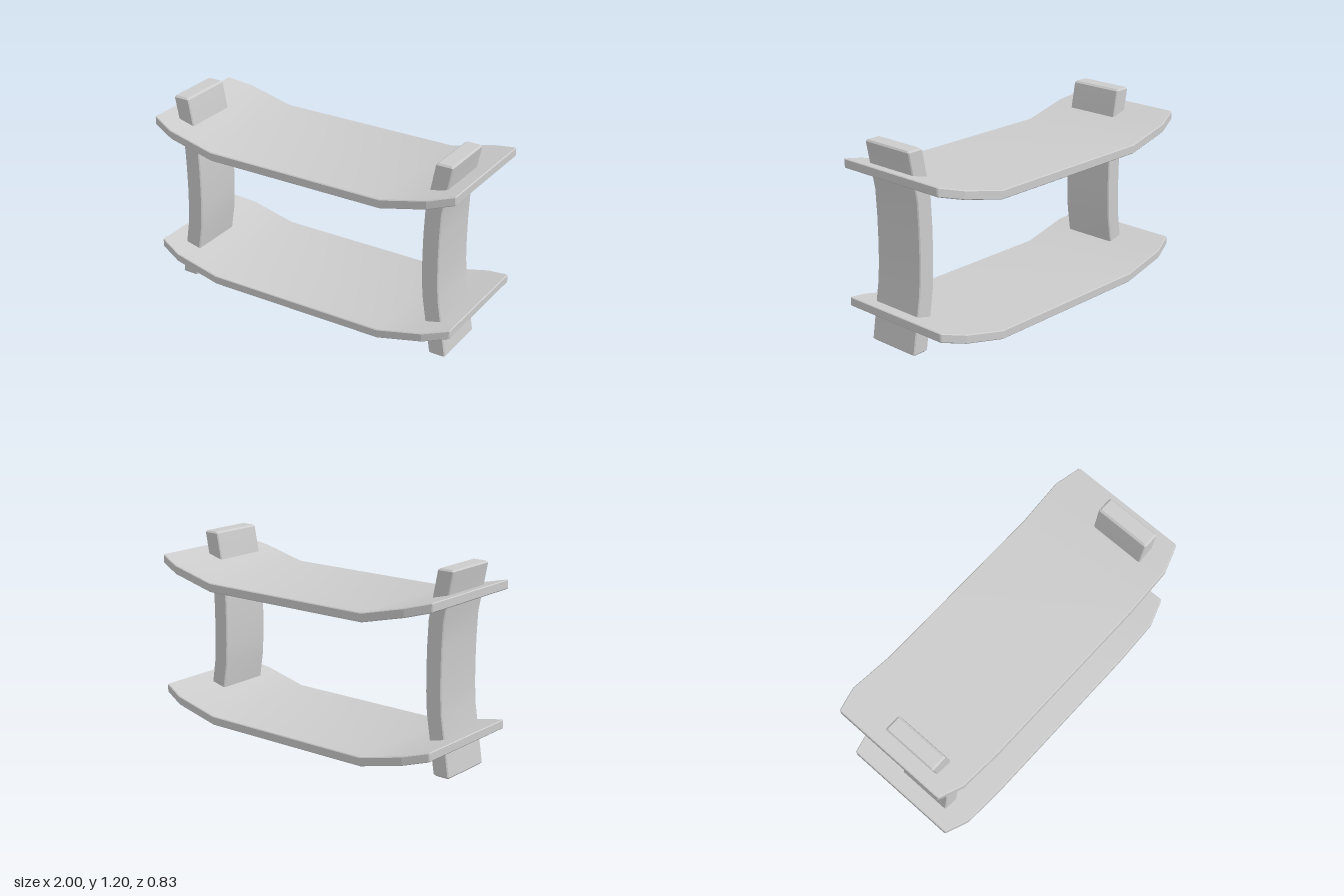
import * as THREE from 'three';
import { toCreasedNormals } from 'three/addons/utils/BufferGeometryUtils.js';

const material = new THREE.MeshStandardMaterial({ color: 0xcccccc });

// Lofts a bevelled rectangle through stations {x, y, w}. The half thickness
// vector (tx, ty) is constant; w is the half width along z.
function loft(stations, tx, ty, bevel) {
  const positions = [];
  const index = [];
  const half = Math.hypot(tx, ty);
  for (const { x, y, w, shrink = 0 } of stations) {
    const a = half - shrink;
    const b = w - shrink;
    const ring = [
      [a, -b + bevel], [a, b - bevel], [a - bevel, b], [-a + bevel, b],
      [-a, b - bevel], [-a, -b + bevel], [-a + bevel, -b], [a - bevel, -b],
    ];
    for (const [s, z] of ring) positions.push(x + tx * s / half, y + ty * s / half, z);
  }
  const last = (stations.length - 1) * 8;
  for (let i = 0; i < last; i += 8) {
    for (let j = 0; j < 8; j++) {
      const k = (j + 1) % 8;
      index.push(i + j, i + k, i + 8 + k, i + j, i + 8 + k, i + 8 + j);
    }
  }
  for (let j = 1; j < 7; j++) {
    index.push(0, j + 1, j);
    index.push(last, last + j, last + j + 1);
  }
  const geometry = new THREE.BufferGeometry();
  geometry.setAttribute('position', new THREE.Float32BufferAttribute(positions, 3));
  geometry.setIndex(index);
  return toCreasedNormals(geometry, 0.3);
}

// Shelf: flat middle, upswept ends, clipped corners
function shelfGeometry() {
  const right = [
    { x: 0.565, y: 0.12, w: 0.417 },
    { x: 0.85, y: 0.19, w: 0.417 },
    { x: 0.995, y: 0.23, w: 0.369 },
    { x: 1, y: 0.231, w: 0.367, shrink: 0.005 },
  ];
  const left = right.map((p) => ({ ...p, x: -p.x })).reverse();
  return loft([...left, ...right], 0, 0.027, 0.005);
}

// Upright: bowed inward at the middle, flared at both ends
function uprightGeometry(side) {
  const path = [
    [0.877, 1.195, 0.01], [0.875, 1.185, 0], [0.82, 0.9, 0], [0.813, 0.75, 0],
    [0.811, 0.6, 0], [0.813, 0.48, 0], [0.82, 0.36, 0], [0.875, 0.01, 0], [0.877, 0, 0.01],
  ];
  const stations = path.map(([x, y, shrink]) => ({ x: side * x, y, w: 0.173, shrink }));
  return loft(stations, 0.052, 0, 0.006);
}

export function createModel() {
  const group = new THREE.Group();
  group.name = 'shelfUnit';

  const shelf = shelfGeometry();
  for (const [name, y] of [['lowerShelf', 0], ['upperShelf', 0.824]]) {
    const mesh = new THREE.Mesh(shelf, material);
    mesh.name = name;
    mesh.position.y = y;
    group.add(mesh);
  }

  // Uprights sit forward of the shelf centre
  for (const [name, side] of [['leftUpright', 1], ['rightUpright', -1]]) {
    const mesh = new THREE.Mesh(uprightGeometry(side), material);
    mesh.name = name;
    mesh.position.z = 0.097;
    group.add(mesh);
  }
  return group;
}
